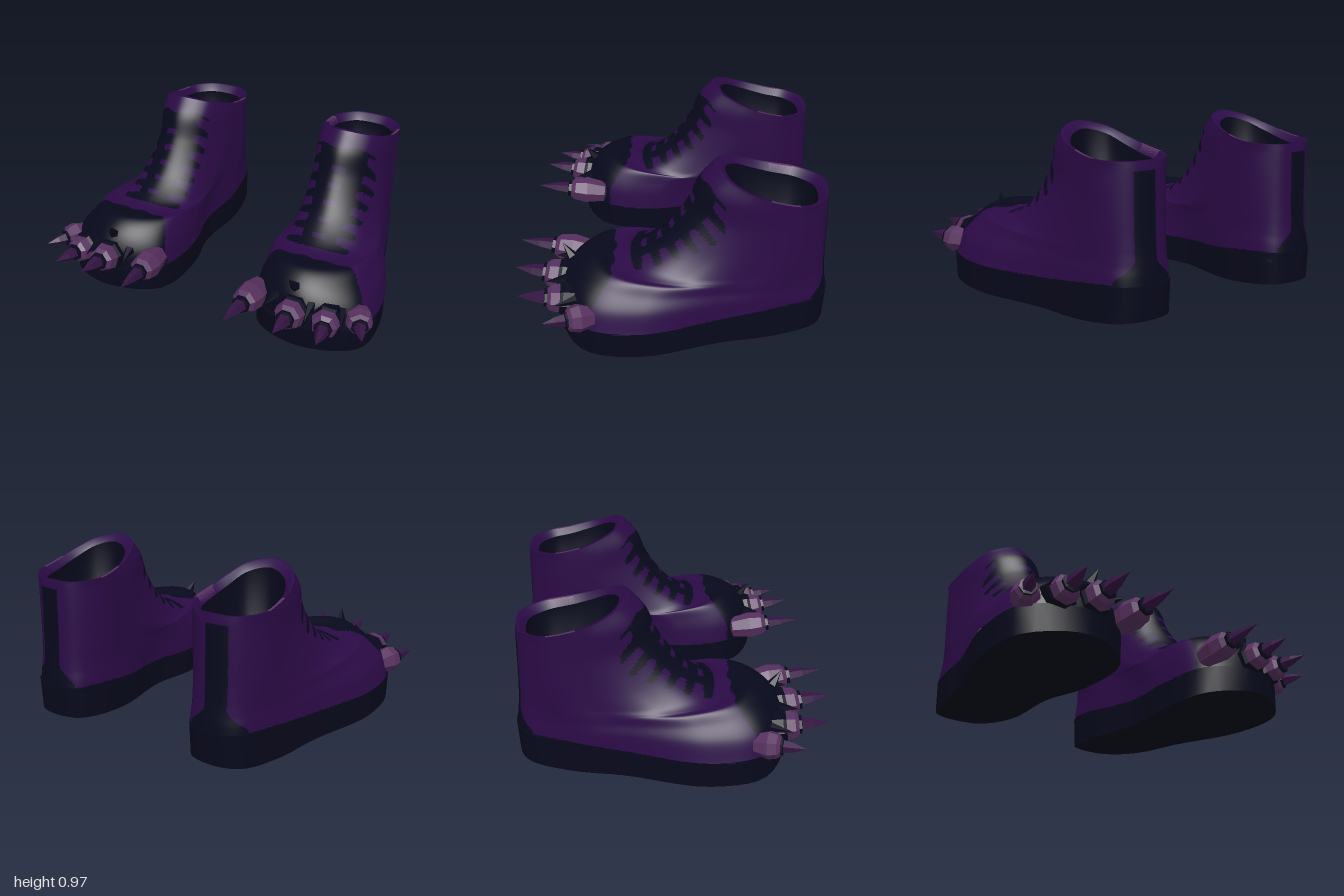
import * as THREE from 'three';
import { toCreasedNormals } from 'three/addons/utils/BufferGeometryUtils.js';

const mat = (name, color, flatShading = false) => {
  const m = new THREE.MeshStandardMaterial({ color, flatShading });
  m.name = name;
  return m;
};
const smooth = THREE.MathUtils.smoothstep;

// Foot outline [x, z] from heel, along the outer side to the toe and back along the inner side
const FOOT = [[.55, -.885], [.68, -.83], [.76, -.6], [.83, -.3], [.965, .15], [.93, .46],
  [.62, .61], [.32, .47], [.28, .12], [.335, -.16], [.31, -.55], [.38, -.84]];
// Ankle widths at the same stations
const ANKLE = [.53, .64, .73, .745, .73, .665, .53, .395, .33, .31, .315, .41];

// Upper rings: heel z, front z, heel y, front y, blend from foot to ankle
const UPPER = [
  [-.88, .595, .16, .17, 0], [-.873, .575, .25, .3, .13], [-.868, .51, .3, .4, .34],
  [-.865, .42, .33, .452, .46], [-.862, .31, .36, .427, .58], [-.86, .2, .39, .44, .7],
  [-.855, .04, .47, .54, .86], [-.85, -.1, .64, .73, 1], [-.845, -.16, .78, .87, 1],
  [-.84, -.24, .82, .965, 1]];

const ring = ([zB, zF, yB, yF, k]) => FOOT.map(([x, z], i) => {
  const t = (z + .885) / 1.495;
  return new THREE.Vector3(x + (ANKLE[i] - x) * k, yB + (yF - yB) * t ** 2.2, zB + (zF - zB) * t);
});

// Shrink a ring towards (cx, cz) and set its height by a rule
const shrink = (pts, f, cx, cz, y) => pts.map(p =>
  new THREE.Vector3(cx + (p.x - cx) * f, y(p), cz + (p.z - cz) * f));

// Skin over closed rings; paint(x, y, z) picks the material slot of each face
function loft(rings, side, cols, steps, curved, paint = () => 0) {
  const curves = rings.map(r => new THREE.CatmullRomCurve3(r, true));
  const rows = (rings.length - 1) * steps + 1, pos = [], slots = [[], [], []];
  for (let i = 0; i < cols; i++) {
    const pts = curves.map(c => c.getPoint(i / cols));
    const line = new THREE.CatmullRomCurve3(pts);
    for (let j = 0; j < rows; j++) {
      const a = Math.min(Math.floor(j / steps), rings.length - 2);
      const p = curved ? line.getPoint(j / (rows - 1)) : pts[a].clone().lerp(pts[a + 1], j / steps - a);
      pos.push(p.x * side, p.y, p.z);
    }
  }
  const face = (a, b, c) => {
    const mid = k => (pos[a * 3 + k] + pos[b * 3 + k] + pos[c * 3 + k]) / 3;
    slots[paint(mid(0) * side, mid(1), mid(2))].push(...(side > 0 ? [a, b, c] : [a, c, b]));
  };
  for (let i = 0; i < cols; i++) for (let j = 0; j < rows - 1; j++) {
    const a = i * rows + j, b = ((i + 1) % cols) * rows + j;
    face(a, a + 1, b);
    face(b, a + 1, b + 1);
  }
  const geo = new THREE.BufferGeometry();
  geo.setAttribute('position', new THREE.Float32BufferAttribute(pos, 3));
  geo.setIndex(slots.flat());
  let start = 0;
  slots.forEach((s, k) => { if (s.length) geo.addGroup(start, s.length, k); start += s.length; });
  geo.computeVertexNormals();
  return geo;
}

// Colour layout of the upper: 0 purple, 1 navy
function paintUpper(x, y, z) {
  const d = Math.abs(x - .55);
  if (y < .165 + .05 * smooth(-z, .2, .85)) return 1;                               // foxing
  if (z < -.76 && y < .77 && d < .062 + .09 * smooth(-y, -.34, -.22)) return 1;     // heel strip
  const cap = .29 + 8 * (x - .62) ** 4 + .008 * Math.sin(x * 45) + Math.max(0, .4 - y) * .4;
  if (z > Math.min(cap, .41)) return 1;                                             // toe cap
  const s = y - z, wave = Math.cos((s - .27) / .14 * Math.PI * 2);
  if (z > -.3 && s > .23 && s < 1.1 && y < .885) {                                  // laces
    if (wave < -.5 && d < .04 && s < .98) return 0;
    const core = .085 + .05 * s;
    if (d < core + (.188 - core) * smooth(wave, -.3, .6)) return 1;
  }
  return 0;
}

// Worn mauve patches on the collar edge
const paintCollar = (x, y, z) => Math.abs(z + .6) < .075 && Math.abs(x - .53) > .196 ? 2 : 0;

// Toes: base, claw tip, thickness, furred knuckle
const TOES = [
  [[.34, .25, .43], [.315, .31, .87], .08, false],
  [[.59, .25, .49], [.59, .315, .85], .083, true],
  [[.765, .24, .47], [.81, .285, .8], .079, true],
  [[.89, .23, .38], [1, .255, .64], .074, false]];

// Small tufts on the cap: base, tip
const TUFTS = [
  [[.58, .39, .53], [.56, .465, .58]], [[.47, .31, .54], [.45, .3, .64]],
  [[.68, .31, .54], [.69, .29, .67]], [[.83, .28, .48], [.87, .27, .6]]];

export function createModel() {
  const purple = mat('purple leather', 0x2b0a46);
  const navy = mat('navy rubber', 0x07081b);
  const fur = mat('navy fur', 0x07081a, true);
  const mauve = mat('mauve toe', 0x56305e, true);
  const horn = mat('dark horn', 0x341442, true);
  const UP = new THREE.Vector3(0, 1, 0);

  // Lathe part running from a to b, given as [radius, share of length]
  const spindle = (name, profile, a, b, material, sides = 7) => {
    const len = a.distanceTo(b);
    const geo = new THREE.LatheGeometry(profile.map(([r, t]) => new THREE.Vector2(r, t * len)), sides);
    const mesh = new THREE.Mesh(geo, material);
    mesh.name = name;
    mesh.position.copy(a);
    mesh.quaternion.setFromUnitVectors(UP, b.clone().sub(a).normalize());
    return mesh;
  };

  const shoe = side => {
    const g = new THREE.Group();
    g.name = side > 0 ? 'leftShoe' : 'rightShoe';
    const add = (name, geo, material) => {
      const m = new THREE.Mesh(geo, material);
      m.name = name;
      g.add(m);
    };
    const vec = ([x, y, z]) => new THREE.Vector3(x * side, y, z);

    // Sole with a slight toe and heel spring
    const foot = ring([-.885, .61, 0, 0, 0]);
    const floor = p => p.z > .2 ? .008 + .05 * ((p.z - .2) / .41) ** 2
      : p.z < -.6 ? .03 * (-.6 - p.z) / .28 : .008 * (p.z + .6) / .8;
    const edge = p => .165 + .045 * smooth(-p.z, .2, .85) + .025 * smooth(p.z, .3, .55);
    const sole = loft([
      shrink(foot, 0, .62, 0, () => .006), shrink(foot, .8, .62, -.05, floor),
      shrink(foot, .99, .62, 0, floor), shrink(foot, 1, .62, 0, edge),
      shrink(foot, .95, .62, 0, edge)], side, 60, 1, false);
    add('sole', toCreasedNormals(sole, .7), navy);

    // Painted upper
    const rings = UPPER.map(ring);
    add('upper', loft(rings, side, 192, 14, true, paintUpper), [purple, navy]);

    // Rim, inner wall and insole
    const top = rings[rings.length - 1];
    const inside = (f, y) => shrink(top, f, .53, -.56, y);
    const lip = inside(.82, p => p.y - .04);
    add('collar', loft([top, inside(.93, p => p.y), lip], side, 192, 1, false, paintCollar),
      [purple, navy, mauve]);
    add('lining', loft([lip, inside(.82, () => .42), inside(0, () => .4)], side, 192, 1, false), navy);

    // Clawed toes
    TOES.forEach(([base, tip, r, furred]) => {
      const a = vec(base), b = vec(tip), toe = new THREE.Group();
      toe.name = 'toe';
      toe.add(spindle('toePad', [[0, 0], [r * .8, .04], [r * 1.05, .3], [r * .9, .47], [r * .5, .56], [0, .56]], a, b, mauve));
      toe.add(spindle('cuticle', [[r * .64, .5], [r * .64, .57], [0, .59]], a, b, fur));
      toe.add(spindle('claw', [[r * .52, .52], [r * .36, .75], [0, 1]], a, b, horn, 5));
      if (furred) toe.add(spindle('knuckle', [[0, 0], [r * 1.1, .05], [r * 1.14, .28], [r, .34]], a, b, fur));
      g.add(toe);
    });
    TUFTS.forEach(([a, b]) => g.add(spindle('tuft', [[.03, 0], [0, 1]], vec(a), vec(b), fur, 5)));
    return g;
  };

  const model = new THREE.Group();
  model.name = 'clawedShoes';
  model.add(shoe(1), shoe(-1));
  return model;
}
